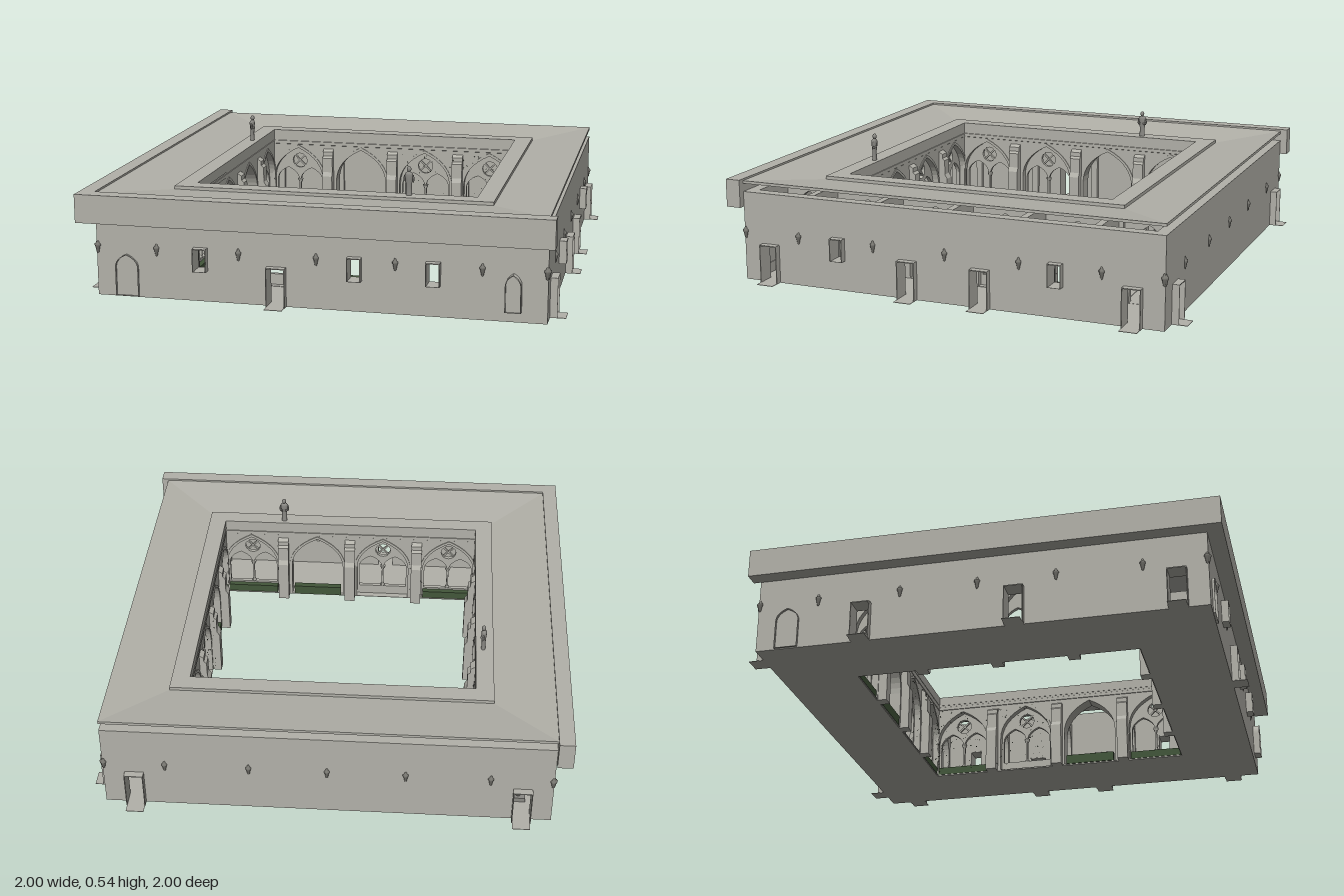
import * as THREE from 'three';

const mat = (name, color, side = THREE.FrontSide) => {
  const m = new THREE.MeshStandardMaterial({ color, side });
  m.name = name;
  return m;
};

export function createModel() {
  const stone = mat('stone', 0xb2b1a9);
  const carved = mat('carvedStone', 0x8a8984);
  const iron = mat('lanternIron', 0x777670);
  const hedge = mat('hedgeGreen', 0x42563a);
  const ivyLeaf = mat('ivyGreen', 0x38442f, THREE.DoubleSide);
  const root = new THREE.Group();
  root.name = 'cloister';

  const add = (parent, name, geo, m, x = 0, y = 0, z = 0) => {
    const mesh = new THREE.Mesh(geo, m);
    mesh.name = name;
    mesh.position.set(x, y, z);
    parent.add(mesh);
    return mesh;
  };
  // box given by its limits
  const block = (parent, name, m, x0, x1, y0, y1, z0, z1) =>
    add(parent, name, new THREE.BoxGeometry(x1 - x0, y1 - y0, z1 - z0), m, (x0 + x1) / 2, (y0 + y1) / 2, (z0 + z1) / 2);
  // outline of an opening, square or with a pointed arch on top
  const outline = (u, y0, w, h, spring, P = THREE.Shape) => {
    const s = new P(), a = u - w / 2, b = u + w / 2, top = y0 + h;
    s.moveTo(a, y0);
    s.lineTo(b, y0);
    if (spring) {
      const c = spring + (top - spring) * 0.64;
      s.lineTo(b, spring);
      s.quadraticCurveTo(b, c, u, top);
      s.quadraticCurveTo(a, c, a, spring);
    } else {
      s.lineTo(b, top);
      s.lineTo(a, top);
    }
    s.lineTo(a, y0);
    return s;
  };
  const hole = (...a) => outline(...a, THREE.Path);
  const extrude = (shape, z0, z1) => {
    const g = new THREE.ExtrudeGeometry(shape, { depth: z1 - z0, bevelEnabled: false, curveSegments: 8 });
    return g.translate(0, 0, z0);
  };
  // section drawn in (z, y), given a thickness along the wall
  const crossSlab = (shape, t) => extrude(shape, -t / 2, t / 2).rotateY(-Math.PI / 2);
  const poly = pts => new THREE.Shape(pts.map(p => new THREE.Vector2(...p)));
  // square ring swept from a section of (half width, y)
  const squareRing = (name, pts) => {
    const p = [...pts, pts[0]].map(([r, y]) => new THREE.Vector2(r * Math.SQRT2, y));
    const g = new THREE.LatheGeometry(p, 4, Math.PI / 4).toNonIndexed();
    g.computeVertexNormals();
    add(root, name, g, stone);
  };
  const lathe = (pts, n) => new THREE.LatheGeometry(pts.map(p => new THREE.Vector2(...p)), n);

  // floor, inward sloping roof, inner rim, cornice
  squareRing('galleryFloor', [[0.605, 0], [0.935, 0], [0.935, 0.002], [0.605, 0.002]]);
  squareRing('roof', [[0.67, 0.392], [0.935, 0.42], [0.935, 0.432], [0.67, 0.404]]);
  squareRing('roofRim', [[0.603, 0.375], [0.68, 0.375], [0.68, 0.419], [0.603, 0.419]]);
  squareRing('cornice', [[0.603, 0.35], [0.61, 0.345], [0.61, 0.37], [0.603, 0.365]]);
  // parapets on the front and left
  block(root, 'frontParapet', stone, -1, 0.965, 0.32, 0.44, 0.935, 1);
  block(root, 'leftParapet', stone, -1, -0.935, 0.32, 0.44, -0.967, 0.935);

  const lanternGeo = lathe([[0, 0.178], [0.005, 0.184], [0.01, 0.208], [0.0125, 0.211], [0.0125, 0.218], [0.007, 0.222], [0.004, 0.231], [0, 0.235]], 8);
  const columnGeo = lathe([[0, 0.05], [0.01, 0.05], [0.01, 0.058], [0.005, 0.063], [0.005, 0.145], [0.013, 0.163], [0.013, 0.168], [0, 0.168]], 10);
  const pierGeo = crossSlab(poly([[0.615, 0], [0.562, 0], [0.562, 0.2], [0.574, 0.22], [0.574, 0.29], [0.586, 0.3], [0.586, 0.32], [0.615, 0.338]]), 0.05);
  const ribShape = poly([[0.67, 0.002], [0.89, 0.002], [0.89, 0.383], [0.67, 0.383]]);
  ribShape.holes.push(hole(0.78, 0.003, 0.17, 0.335, 0.2));
  const ribGeo = crossSlab(ribShape, 0.03);

  // four sides, each built facing +z and turned into place
  const sides = [
    { name: 'front', turn: 0, doors: [-0.165], windows: [-0.485, 0.16, 0.48], arched: [[-0.805, 0.004, 0.1, 0.178, 0.944], [0.8, 0.045, 0.065, 0.155, 0.965]], plain: 0.16 },
    { name: 'right', turn: Math.PI / 2, doors: [-0.81, -0.165, 0.16, 0.805], windows: [-0.485, 0.485], arched: [], plain: -0.16 },
    { name: 'back', turn: Math.PI, doors: [-0.805, 0.81], windows: [], arched: [], plain: 0.16 },
    { name: 'left', turn: -Math.PI / 2, doors: [-0.485, 0.155, 0.81], windows: [], arched: [[-0.805, 0.004, 0.1, 0.178, 0.944]], plain: -0.16 },
  ];
  for (const s of sides) {
    const g = new THREE.Group();
    g.name = s.name + 'Side';
    g.rotation.y = s.turn;
    root.add(g);

    // outer wall with its openings
    const wall = poly([[-0.935, 0], [0.935, 0], [0.935, 0.385], [-0.935, 0.385]]);
    const frame = (name, u, y0, w, h, spring, z1) => {
      wall.holes.push(hole(u, y0, w, h, spring));
      const f = outline(u, y0, w, h, spring);
      f.holes.push(hole(u, y0 + 0.001, w - 0.007, h - 0.005, spring));
      add(g, name, extrude(f, 0.886, z1), stone);
    };
    for (const u of s.doors) {
      frame('doorFrame', u, 0.001, 0.08, 0.165, 0, 0.965);
      block(g, 'doorStep', stone, u - 0.0375, u + 0.0375, 0, 0.002, 0.93, 1);
    }
    for (const u of s.windows) frame('windowFrame', u, 0.13, 0.058, 0.098, 0, 0.965);
    for (const [u, y, w, h, z] of s.arched) {
      const spring = y + h * 0.68;
      frame('archedFrame', u, y, w, h, spring, z);
      add(g, 'archedPanel', extrude(outline(u, y, w, h, spring), 0.89, z - 0.009), stone);
    }
    add(g, 'outerWall', extrude(wall, 0.885, 0.935), stone);
    for (const u of [-0.93, -0.675, -0.325, 0, 0.325, 0.675, 0.93]) add(g, 'lantern', lanternGeo, iron, u, 0, 0.934);

    // arcade wall with four pointed bays
    const arcade = poly([[-0.675, 0], [0.675, 0], [0.675, 0.385], [-0.675, 0.385]]);
    for (const u of [-0.48, -0.16, 0.16, 0.48]) {
      arcade.holes.push(hole(u, 0.004, 0.25, 0.328, 0.17));
      const mould = outline(u, 0.004, 0.274, 0.342, 0.17);
      mould.holes.push(hole(u, 0.005, 0.25, 0.327, 0.17));
      add(g, 'archMoulding', extrude(mould, 0.601, 0.61), stone);
      if (u === s.plain) {
        block(g, 'hedge', hedge, u - 0.115, u + 0.115, 0.006, 0.05, 0.6, 0.63);
        continue;
      }
      // twin lancets under a rose
      const tracery = outline(u, 0.004, 0.25, 0.328, 0.17);
      for (const d of [-1, 1]) tracery.holes.push(hole(u + d * 0.0595, 0.05, 0.111, 0.175, 0.16));
      const rose = new THREE.Path();
      rose.absarc(u, 0.262, 0.036, 0, Math.PI * 2, true);
      tracery.holes.push(rose);
      add(g, 'tracery', extrude(tracery, 0.632, 0.65), stone);
      for (const k of [1, -1])
        add(g, 'roseBar', new THREE.BoxGeometry(0.075, 0.007, 0.012), stone, u, 0.262, 0.641).rotation.z = k * Math.PI / 4;
      add(g, 'mullionColumn', columnGeo, stone, u, 0, 0.641);
      if (Math.abs(u) > 0.3) block(g, 'hedgeStrip', hedge, u - 0.12, u + 0.12, 0.006, 0.042, 0.606, 0.631);
    }
    add(g, 'arcadeWall', extrude(arcade, 0.605, 0.675), stone);

    // stepped buttresses and gallery arches
    for (const u of [-0.325, 0, 0.325]) add(g, 'buttress', pierGeo, stone, u);
    for (const u of [-0.64, -0.325, 0, 0.325, 0.64]) add(g, 'galleryArch', ribGeo, stone, u);
  }

  // robed statues
  const robe = lathe([[0, 0], [0.018, 0], [0.018, 0.008], [0.013, 0.012], [0.012, 0.05], [0.015, 0.08], [0.018, 0.1], [0.014, 0.108], [0.006, 0.113], [0, 0.114]], 12);
  const statue = (x, y, z, turn) => {
    const g = new THREE.Group();
    g.name = 'statue';
    g.position.set(x, y, z);
    g.rotation.y = turn;
    root.add(g);
    add(g, 'robe', robe, carved).scale.z = 0.7;
    add(g, 'head', new THREE.SphereGeometry(0.0095, 10, 8), carved, 0, 0.123, 0.002).scale.y = 1.3;
    for (const d of [-1, 1]) {
      const arm = new THREE.CatmullRomCurve3([[0.016, 0.1, 0], [0.018, 0.075, 0.003], [0.004, 0.077, 0.013]].map(p => new THREE.Vector3(p[0] * d, p[1], p[2])));
      add(g, 'arm', new THREE.TubeGeometry(arm, 8, 0.0045, 6), carved);
    }
  };
  statue(-0.635, 0.405, -0.325, Math.PI / 2);
  statue(0.32, 0.405, 0.63, Math.PI);
  block(root, 'statuePlinth', carved, -0.83, -0.77, 0.002, 0.022, -0.835, -0.775);
  statue(-0.8, 0.022, -0.805, Math.PI / 2);

  // ivy leaves scattered along the back right corner
  let seed = 7;
  const rnd = () => (seed = (seed * 16807) % 2147483647) / 2147483647;
  const pos = [];
  for (let i = 0; i < 320; i++) {
    const along = 0.6 - 0.6 * rnd() ** 1.5, off = 0.602 - 0.035 * rnd() ** 2, y = 0.02 + 0.32 * rnd();
    const [x, z] = i % 2 ? [along, -off] : [off, -along];
    for (let k = 0; k < 3; k++) pos.push(x + (rnd() - 0.5) * 0.01, y + (rnd() - 0.5) * 0.012, z + (rnd() - 0.5) * 0.01);
  }
  const ivy = new THREE.BufferGeometry();
  ivy.setAttribute('position', new THREE.Float32BufferAttribute(pos, 3));
  ivy.computeVertexNormals();
  add(root, 'ivy', ivy, ivyLeaf);

  return root;
}
